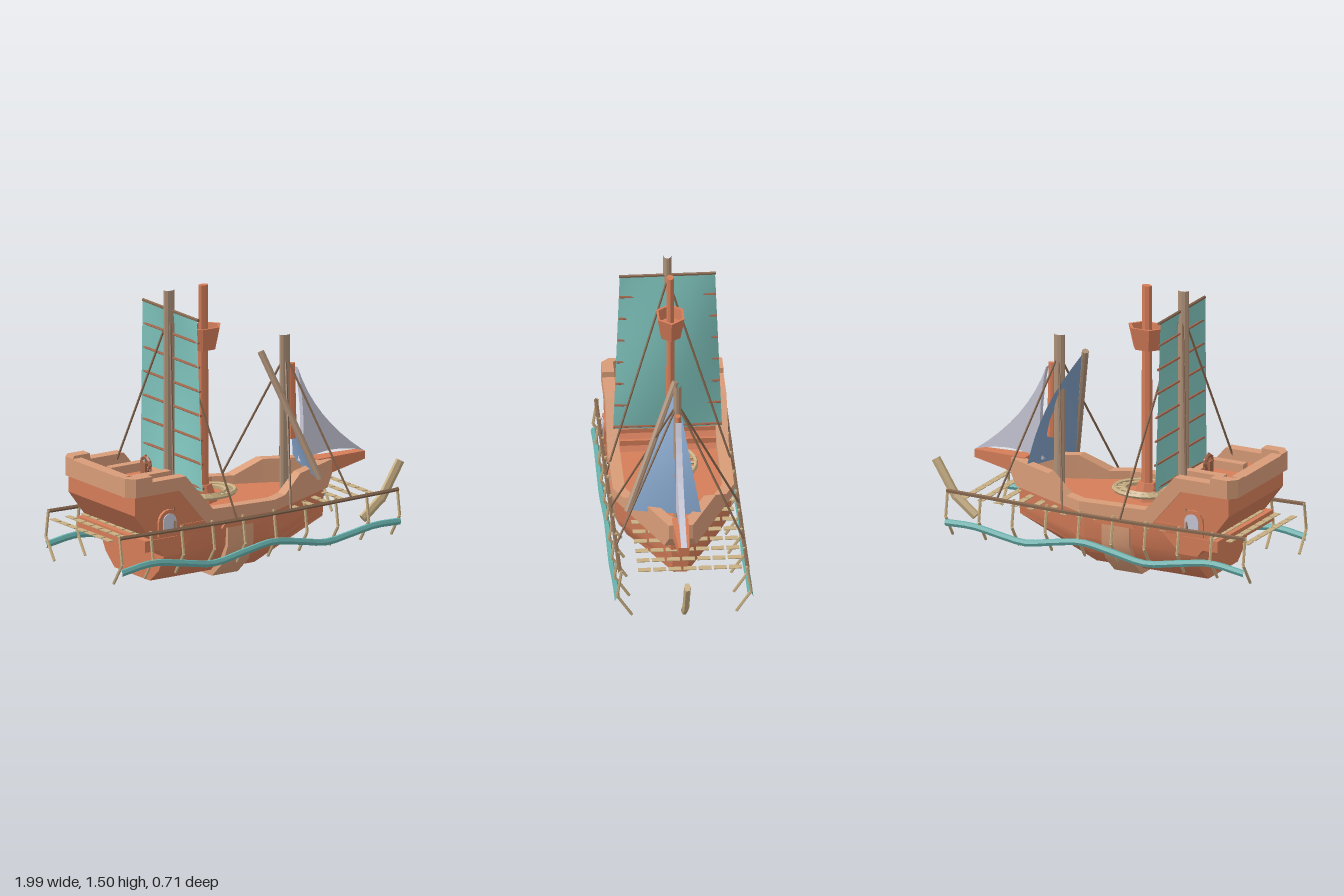
import * as THREE from 'three';
import { toCreasedNormals } from 'three/addons/utils/BufferGeometryUtils.js';

const paint = (name, color, side = THREE.FrontSide) => {
  const m = new THREE.MeshStandardMaterial({ color, side });
  m.name = name;
  return m;
};

export function createModel() {
  const ship = new THREE.Group();
  ship.name = 'sailingShip';
  const timber = paint('orange timber', 0xd57d59);
  const trim = paint('pale trim', 0xd89c78);
  const pole = paint('grey brown pole', 0xae9179);
  const straw = paint('straw wood', 0xc8af83);
  const rope = paint('brown rope', 0x86674f);
  const batten = paint('red brown wood', 0xa5674d);
  const teal = paint('teal cloth', 0x81c6bf, THREE.DoubleSide);
  const blue = paint('blue cloth', 0x809fc4, THREE.DoubleSide);
  const white = paint('pale cloth', 0xcac9da, THREE.DoubleSide);
  const wave = paint('teal wave', 0x68b2ae);

  // Faceted mesh from any geometry
  const add = (name, geo, mat, flat = true) => {
    if (flat) {
      if (geo.index) geo = geo.toNonIndexed();
      geo.computeVertexNormals();
    }
    const m = new THREE.Mesh(geo, mat);
    m.name = name;
    ship.add(m);
    return m;
  };
  const box = (name, x0, x1, y0, y1, z0, z1, mat) =>
    add(name, new THREE.BoxGeometry(x1 - x0, y1 - y0, z1 - z0)
      .translate((x0 + x1) / 2, (y0 + y1) / 2, (z0 + z1) / 2), mat);
  // Straight round bar between two points
  const rod = (name, a, b, r, mat, sides = 6, rTop = r, open = false) => {
    const p = new THREE.Vector3(...a), q = new THREE.Vector3(...b);
    const d = q.clone().sub(p);
    const geo = new THREE.CylinderGeometry(rTop, r, d.length(), sides, 1, open);
    geo.applyQuaternion(new THREE.Quaternion().setFromUnitVectors(new THREE.Vector3(0, 1, 0), d.normalize()));
    geo.translate(...p.add(q).multiplyScalar(0.5).toArray());
    return add(name, geo, mat);
  };
  // Upright spar, narrower across the ship than along it
  const spar = (...args) => rod(...args).geometry.scale(1, 1, 0.68);
  // Closed solid through matching rings, turned outward by its signed volume
  const loft = (name, rings, mat, crease = 0) => {
    const tris = [], n = rings[0].length, last = rings.length - 1;
    for (let i = 0; i < last; i++) {
      for (let j = 0; j < n; j++) {
        const k = (j + 1) % n, A = rings[i], B = rings[i + 1];
        tris.push([A[j], A[k], B[k]], [A[j], B[k], B[j]]);
      }
    }
    for (let j = 1; j < n - 1; j++) {
      tris.push([rings[0][0], rings[0][j + 1], rings[0][j]]);
      tris.push([rings[last][0], rings[last][j], rings[last][j + 1]]);
    }
    let vol = 0;
    for (const t of tris) {
      const [a, b, c] = t.map(v => new THREE.Vector3(...v));
      vol += a.dot(b.cross(c));
    }
    if (vol < 0) tris.forEach(t => t.reverse());
    const geo = new THREE.BufferGeometry();
    geo.setAttribute('position', new THREE.Float32BufferAttribute(tris.flat(2), 3));
    return crease ? add(name, toCreasedNormals(geo, crease), mat, false) : add(name, geo, mat);
  };
  const extrude = (pts, depth, z) => new THREE.ExtrudeGeometry(
    new THREE.Shape(pts.map(p => new THREE.Vector2(...p))), { depth, bevelEnabled: false }).translate(0, 0, z);
  // Mirrored section from half outline [z, y], bottom to top
  const ring = (x, half) => [...half.map(([z, y]) => [x, y, z]), ...half.slice().reverse().map(([z, y]) => [x, y, -z])];

  // Hull, midship band and stern castle
  const mid = [[0.16, 0.03], [0.24, 0.1], [0.29, 0.19], [0.305, 0.345]];
  const bow = [[0.035, 0.17], [0.04, 0.2], [0.042, 0.25], [0.05, 0.345]];
  loft('hull', [ring(-0.69, mid), ring(-0.04, mid), ring(0.47, bow)], timber, 0.6);
  const band = [[0.17, 0], [0.27, 0.09], [0.313, 0.19], [0.313, 0.3]];
  loft('midshipBand', [ring(-0.31, band), ring(-0.15, band)], trim, 0.6);
  add('sternCastle', extrude([[-0.88, 0.54], [-0.88, 0.43], [-0.7, 0.19], [-0.6, 0.19], [-0.45, 0.34], [-0.57, 0.54]], 0.6, -0.3), timber);
  box('sternLedge', -0.82, -0.62, 0.23, 0.29, -0.306, 0.306, timber);
  for (let i = 0; i < 3; i++) box('step', -0.56, -0.535 + i * 0.033, 0.34, 0.5 - i * 0.05, -0.25, 0.25, timber);

  // Bulwarks: x, outer z, inner z, bottom, top
  const rails = [
    [-0.92, 0.27, 0.2, 0.53, 0.63], [-0.88, 0.312, 0.25, 0.53, 0.63], [-0.78, 0.312, 0.25, 0.53, 0.63],
    [-0.779, 0.312, 0.25, 0.53, 0.6], [-0.61, 0.312, 0.25, 0.53, 0.6], [-0.57, 0.312, 0.25, 0.483, 0.6],
    [-0.44, 0.312, 0.25, 0.33, 0.445], [-0.4, 0.312, 0.25, 0.33, 0.4], [-0.02, 0.312, 0.25, 0.33, 0.39],
    [0.08, 0.265, 0.2, 0.33, 0.39], [0.22, 0.2, 0.14, 0.33, 0.47], [0.4, 0.115, 0.055, 0.33, 0.47],
    [0.47, 0.082, 0, 0.33, 0.47], [0.51, 0.062, 0, 0.39, 0.47]];
  for (const s of [1, -1]) {
    loft('bulwark', rails.map(([x, o, i, b, t]) => [[x, b, s * o], [x, t, s * o], [x, t, s * i], [x, b, s * i]]), trim);
    add('bandCap', extrude([[-0.35, 0.29], [-0.11, 0.29], [-0.14, 0.325], [-0.32, 0.325]], 0.012, s * 0.313 - 0.006), timber);
    // Arched side window
    const arch = (w, h, y) => {
      const p = [[-0.675 - w, y], [-0.675 + w, y]];
      for (let k = 0; k <= 8; k++) p.push([-0.675 + w * Math.cos(k * Math.PI / 8), y + h + w * Math.sin(k * Math.PI / 8)]);
      return p;
    };
    add('windowFrame', extrude(arch(0.065, 0.075, 0.3), 0.03, s * 0.3 - 0.015), timber);
    add('windowPane', extrude(arch(0.04, 0.05, 0.33), 0.008, s * 0.316 - 0.004), white);
    // Quarterdeck side rails
    box('quarterdeckRail', -0.76, -0.54, 0.54, 0.585, s * 0.11 - 0.023, s * 0.11 + 0.023, trim);
  }
  box('sternRail', -0.92, -0.855, 0.53, 0.625, -0.22, 0.22, trim);
  box('quarterdeckFrontRail', -0.58, -0.54, 0.53, 0.57, -0.09, 0.09, trim);

  // Helm
  box('helmStand', -0.625, -0.585, 0.54, 0.61, -0.02, 0.02, batten);
  add('helmWheel', new THREE.TorusGeometry(0.038, 0.01, 5, 10).rotateY(Math.PI / 2).translate(-0.605, 0.6, 0), batten);
  for (let i = 0; i < 3; i++) {
    const c = 0.05 * Math.cos(i * Math.PI / 3 + 0.5), s = 0.05 * Math.sin(i * Math.PI / 3 + 0.5);
    rod('helmSpoke', [-0.605, 0.6 - s, -c], [-0.605, 0.6 + s, c], 0.006, batten, 5);
  }

  // Bowsprit and bent prow piece
  const square = (x, w, b, t) => [[x, b, w], [x, t, w], [x, t, -w], [x, b, -w]];
  loft('bowsprit', [square(0.44, 0.042, 0.39, 0.475), square(0.52, 0.04, 0.39, 0.475), square(0.74, 0.028, 0.43, 0.472)], timber);
  spar('prowLower', [0.745, 0.103, 0], [0.868, 0.2, 0], 0.026, straw);
  spar('prowUpper', [0.858, 0.185, 0], [0.978, 0.378, 0], 0.026, straw);

  // Masts and crow's nest
  spar('rearMast', [-0.46, 0.34, 0], [-0.46, 1.505, 0], 0.031, pole, 10, 0.031, true);
  spar('mainMast', [-0.248, 0.34, 0], [-0.248, 1.5, 0], 0.034, timber, 8, 0.028);
  spar('mainMastBase', [-0.25, 0.34, 0], [-0.25, 0.44, 0], 0.085, timber, 6, 0.05);
  const nest = [[0.034, 1.16], [0.075, 1.16], [0.105, 1.28], [0.088, 1.28], [0.077, 1.22], [0.028, 1.22]];
  add('crowsNest', new THREE.LatheGeometry(nest.map(p => new THREE.Vector2(...p)), 6, Math.PI / 6)
    .scale(1, 1, 0.76).translate(-0.245, 0, 0), timber);
  spar('foreMast', [0.26, 0.34, 0], [0.26, 1.16, 0], 0.031, pole, 10, 0.031, true);
  spar('foreTopmast', [0.308, 0.6, 0], [0.303, 1, 0], 0.026, timber, 8, 0.02);
  rod('slantedYard', [0.11, 1.09, 0], [0.3, 0.44, 0.26], 0.018, pole, 8);

  // Woven rings around the main mast
  for (const r of [0.157, 0.107]) {
    add('deckRing', new THREE.TorusGeometry(r, 0.013, 5, 24).rotateX(Math.PI / 2).scale(1.04, 1, 0.84).translate(-0.235, 0.4, 0), straw);
  }
  for (let i = 0; i < 20; i++) {
    const c = Math.cos(i * Math.PI / 10), s = Math.sin(i * Math.PI / 10) * 0.82;
    rod('ringSpoke', [-0.235 + c * 0.1, 0.397, s * 0.1], [-0.235 + c * 0.16, 0.397, s * 0.16], 0.008, straw, 5);
  }

  // Large rear sail with battens and yard
  const sail = new THREE.PlaneGeometry(2, 1, 8, 10);
  const sp = sail.attributes.position;
  for (let i = 0; i < sp.count; i++) {
    const u = sp.getX(i), t = sp.getY(i) + 0.5;
    const x = -0.457 + (1 - u * u) * (0.008 + 0.048 * Math.sin(Math.PI * t)) + 0.012 * (1 - t);
    sp.setXYZ(i, x, 0.49 + 0.91 * t, -u * (0.28 - 0.035 * t));
  }
  sail.computeVertexNormals();
  add('rearSail', sail, teal, false);
  rod('rearYard', [-0.45, 1.395, -0.25], [-0.45, 1.395, 0.25], 0.009, rope);
  for (let i = 0; i < 7; i++) {
    const y = 0.505 + i * 0.128, w = 0.278 - 0.035 * i / 7, x = -0.437 - 0.0018 * i;
    rod('sailBatten', [x, y, -w], [x, y, w], 0.007, batten, 5);
  }

  // Triangular blue sail, bellied between its three corners
  const A = new THREE.Vector3(0.12, 1.08, 0), B = new THREE.Vector3(0.29, 0.44, 0.25), C = new THREE.Vector3(0.39, 0.455, -0.115);
  const jib = new THREE.PlaneGeometry(1, 1, 6, 8), jp = jib.attributes.position;
  for (let i = 0; i < jp.count; i++) {
    const u = jp.getX(i) + 0.5, t = 0.5 - jp.getY(i);
    const p = A.clone().lerp(B.clone().lerp(C, u), t);
    p.x += 0.05 * Math.sin(Math.PI * t) * u;
    jp.setXYZ(i, p.x, p.y, p.z);
  }
  jib.computeVertexNormals();
  add('foreSail', jib, blue, false);

  // Pale bow sail with hollow edges
  const s = new THREE.Shape();
  s.moveTo(0.33, 0.975);
  s.quadraticCurveTo(0.39, 0.7, 0.35, 0.47);
  s.quadraticCurveTo(0.53, 0.54, 0.74, 0.472);
  s.quadraticCurveTo(0.435, 0.685, 0.33, 0.975);
  add('bowSail', new THREE.ExtrudeGeometry(s, { depth: 0.03, bevelEnabled: false, curveSegments: 8 }).translate(0, 0, -0.015), white);

  // Stays, outboard rails, posts and wave mouldings on both sides
  for (const d of [1, -1]) {
    for (const [x, y, foot] of [[-0.455, 1.38, -0.655], [-0.44, 1.38, -0.265], [0.265, 1.05, 0.07], [0.265, 1.05, 0.45]]) {
      rod('stay', [x, y, 0], [foot, 0.33, d * 0.33], 0.006, rope, 5);
    }
    const curve = pts => new THREE.CatmullRomCurve3(pts.map(([x, y, z]) => new THREE.Vector3(x, y, d * z)));
    add('outboardRail', new THREE.TubeGeometry(curve([[-0.995, 0.338, 0.328], [-0.13, 0.324, 0.328], [0.74, 0.335, 0.328]]), 8, 0.011, 5), rope);
    const path = [[-0.995, 0.155], [-0.8, 0.18], [-0.6, 0.15], [-0.42, 0.122], [-0.22, 0.155], [-0.05, 0.18],
      [0.12, 0.155], [0.28, 0.127], [0.42, 0.145], [0.58, 0.17], [0.74, 0.168]].map(([x, y]) => [x, y, 0.342]);
    const tube = new THREE.TubeGeometry(curve(path), 30, 0.019, 6);
    tube.translate(0, 0, -d * 0.342).scale(1, 1, 0.75).translate(0, 0, d * 0.342);
    add('waveMoulding', tube, wave);
    for (let i = 0; i < 10; i++) {
      const x = -0.99 + i * 0.192;
      rod('railPost', [x, 0.345, d * 0.322], [x, 0.2, d * 0.345], 0.008, straw, 5);
      rod('railBrace', [x, 0.2, d * 0.345], [x, 0.085, d * 0.268], 0.008, straw, 5);
    }
  }

  // Rows of thin cross slats between the outboard rails
  for (let i = 0; i < 18; i++) {
    for (let j = 0; j < 7; j++) {
      const x = -0.98 + i * 0.0963, z = -0.27 + j * 0.078;
      box('crossSlat', x - 0.017, x + 0.017, 0.298, 0.302, z - 0.033, z + 0.033, straw);
    }
  }
  return ship;
}
